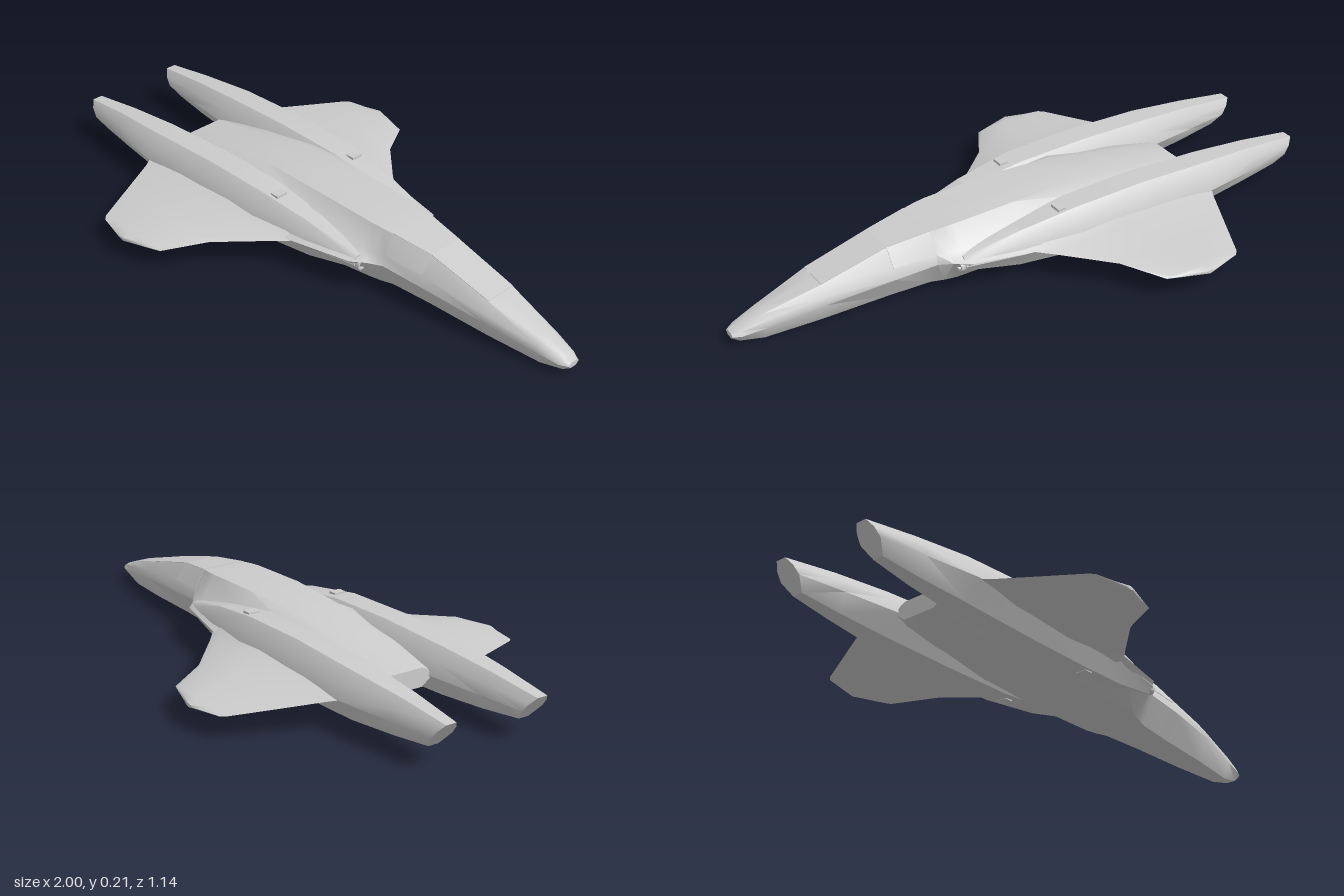
import * as THREE from 'three';
import { mergeVertices, toCreasedNormals } from 'three/addons/utils/BufferGeometryUtils.js';

const material = new THREE.MeshStandardMaterial({ color: 0xcccccc });

// Skin closed rings of [x, y, z] points and cap both ends.
function loft(rings, mirrored = false, crease = 0.75) {
  const n = rings[0].length, index = [];
  const position = rings.flat().flatMap(([x, y, z]) => [x, y, mirrored ? -z : z]);
  const tri = (a, b, c) => (mirrored ? index.push(a, c, b) : index.push(a, b, c));
  for (let i = 0; i < rings.length - 1; i++) {
    for (let j = 0; j < n; j++) {
      const a = i * n + j, b = i * n + (j + 1) % n;
      tri(a, b, b + n);
      tri(a, b + n, a + n);
    }
  }
  const last = (rings.length - 1) * n;
  for (let j = 1; j < n - 1; j++) {
    tri(0, j + 1, j);
    tri(last, last + j, last + j + 1);
  }
  const g = new THREE.BufferGeometry();
  g.setAttribute('position', new THREE.Float32BufferAttribute(position, 3));
  g.setIndex(index);
  return toCreasedNormals(mergeVertices(g), crease);
}

// Fuselage stations: x, top y, top half width, mid z, mid y, edge z, edge y, bottom half width, bottom y
const stations = [
  [-0.61, 0.135, 0.06, 0.08, 0.125, 0.1, 0.105, 0.06, 0.075],
  [-0.43, 0.165, 0.06, 0.10, 0.16, 0.2, 0.11, 0.07, 0.05],
  [-0.2, 0.204, 0.08, 0.14, 0.18, 0.24, 0.11, 0.1, 0.032],
  [0.06, 0.214, 0.09, 0.14, 0.165, 0.235, 0.11, 0.11, 0.025],
  [0.28, 0.21, 0.088, 0.13, 0.14, 0.185, 0.115, 0.1, 0.02],
  [0.32, 0.208, 0.084, 0.122, 0.135, 0.15, 0.113, 0.09, 0.019],
  [0.36, 0.205, 0.078, 0.112, 0.14, 0.122, 0.108, 0.075, 0.018],
  [0.5, 0.189, 0.06, 0.1, 0.135, 0.11, 0.1, 0.06, 0.013],
  [0.72, 0.136, 0.054, 0.078, 0.105, 0.084, 0.08, 0.045, 0.006],
  [0.9, 0.088, 0.028, 0.045, 0.072, 0.05, 0.05, 0.025, 0],
  [0.975, 0.06, 0.018, 0.03, 0.053, 0.036, 0.04, 0.016, 0.014],
  [1, 0.048, 0.01, 0.018, 0.045, 0.023, 0.04, 0.012, 0.03],
];
function fuselageRing([x, top, tw, mz, my, ez, ey, bw, bottom]) {
  const side = [[x, top, tw], [x, my, mz], [x, ey, ez], [x, bottom, bw]];
  const other = side.map(([a, b, c]) => [a, b, -c]).reverse();
  return [[x, top, 0], ...side, [x, bottom, 0], ...other];
}

// Engine stations: x, inner z, outer z, bottom y, top y, forward rake of the bottom
const engines = [
  [-1, 0.125, 0.203, 0.065, 0.15, 0.07],
  [-0.82, 0.105, 0.223, 0.05, 0.172, 0.03],
  [-0.62, 0.085, 0.247, 0.038, 0.188, 0],
  [-0.35, 0.075, 0.25, 0.03, 0.2, 0],
  [-0.1, 0.075, 0.245, 0.03, 0.196, 0],
  [0.1, 0.09, 0.215, 0.045, 0.17, 0],
  [0.29, 0.11, 0.175, 0.08, 0.13, 0],
];
function engineRing([x, zi, zo, yb, yt, rake]) {
  const w = zo - zi, h = yt - yb;
  return [[0.27, 1], [0.73, 1], [0.93, 0.75], [1, 0.45], [0.73, 0], [0.27, 0], [0, 0.45], [0.07, 0.75]]
    .map(([u, v]) => [x + rake * (1 - v), yb + v * h, zi + u * w]);
}

// Wing stations: z, leading x, trailing x, bottom y, top y
const wings = [
  [0.15, 0.2, -0.66, 0.055, 0.165],
  [0.22, 0.08, -0.625, 0.075, 0.138],
  [0.27, 0.02, -0.595, 0.08, 0.122],
  [0.4, -0.12, -0.535, 0.075, 0.103],
  [0.53, -0.2, -0.475, 0.068, 0.087],
  [0.545, -0.245, -0.46, 0.067, 0.085],
  [0.57, -0.325, -0.355, 0.068, 0.08],
];
function wingRing([z, front, back, yb, yt]) {
  const mid = (yb + yt) / 2;
  return [[0, mid], [0.06, mid + (yt - mid) * 0.55], [0.4, yt], [0.75, mid + (yt - mid) * 0.7], [1, mid],
    [0.75, mid + (yb - mid) * 0.7], [0.4, yb], [0.06, mid + (yb - mid) * 0.55]]
    .map(([t, y]) => [front + (back - front) * t, y, z]);
}

export function createModel() {
  const model = new THREE.Group();
  const add = (name, geometry, x = 0, y = 0, z = 0) => {
    const mesh = new THREE.Mesh(geometry, material);
    mesh.name = name;
    mesh.position.set(x, y, z);
    model.add(mesh);
    return mesh;
  };

  add('fuselage', loft(stations.map(fuselageRing)));

  // Cockpit panes sit just proud of the faceted nose
  const [rear, mid, front] = [stations[6], stations[7], stations[8]];
  const pane = (a, b) => {
    const ring = (s) => [[s[0], s[1] + 0.0015, s[2]], [s[0], s[1] - 0.006, s[2]],
      [s[0], s[1] - 0.006, -s[2]], [s[0], s[1] + 0.0015, -s[2]]];
    return loft([ring(a), ring(b)], false, 0.3);
  };
  add('canopyRoof', pane(rear, mid));
  add('windscreen', pane(mid, front));

  for (const side of [1, -1]) {
    const label = side > 0 ? 'left' : 'right';
    const flip = side < 0;
    add(label + 'Engine', loft(engines.map(engineRing), flip));
    add(label + 'Wing', loft(wings.map(wingRing), flip, 0.9));

    // Side pane beside the cockpit
    const sideRing = (s) => [[s[0], s[1] + 0.001, s[2] + 0.001], [s[0], s[4] + 0.001, s[3] + 0.001],
      [s[0], s[4] - 0.004, s[3] - 0.008], [s[0], s[1] - 0.004, s[2] - 0.008]];
    add(label + 'SidePane', loft([sideRing(rear), sideRing(mid)], flip, 0.3));

    // Small vents above and below the engine
    add(label + 'UpperVent', new THREE.BoxGeometry(0.03, 0.03, 0.04), -0.055, 0.182, side * 0.165);
    add(label + 'LowerVent', new THREE.BoxGeometry(0.03, 0.03, 0.04), -0.055, 0.045, side * 0.165);

    // Hollow gun muzzle in the shoulder
    const profile = [[0.016, -0.06], [0.016, 0.015], [0.01, 0.015], [0.01, -0.01], [0, -0.01]]
      .map(([r, y]) => new THREE.Vector2(r, y));
    const muzzle = toCreasedNormals(new THREE.LatheGeometry(profile, 16), 0.6);
    muzzle.rotateZ(-Math.PI / 2);
    add(label + 'Muzzle', muzzle, 0.29, 0.1, side * 0.155);
  }
  return model;
}
